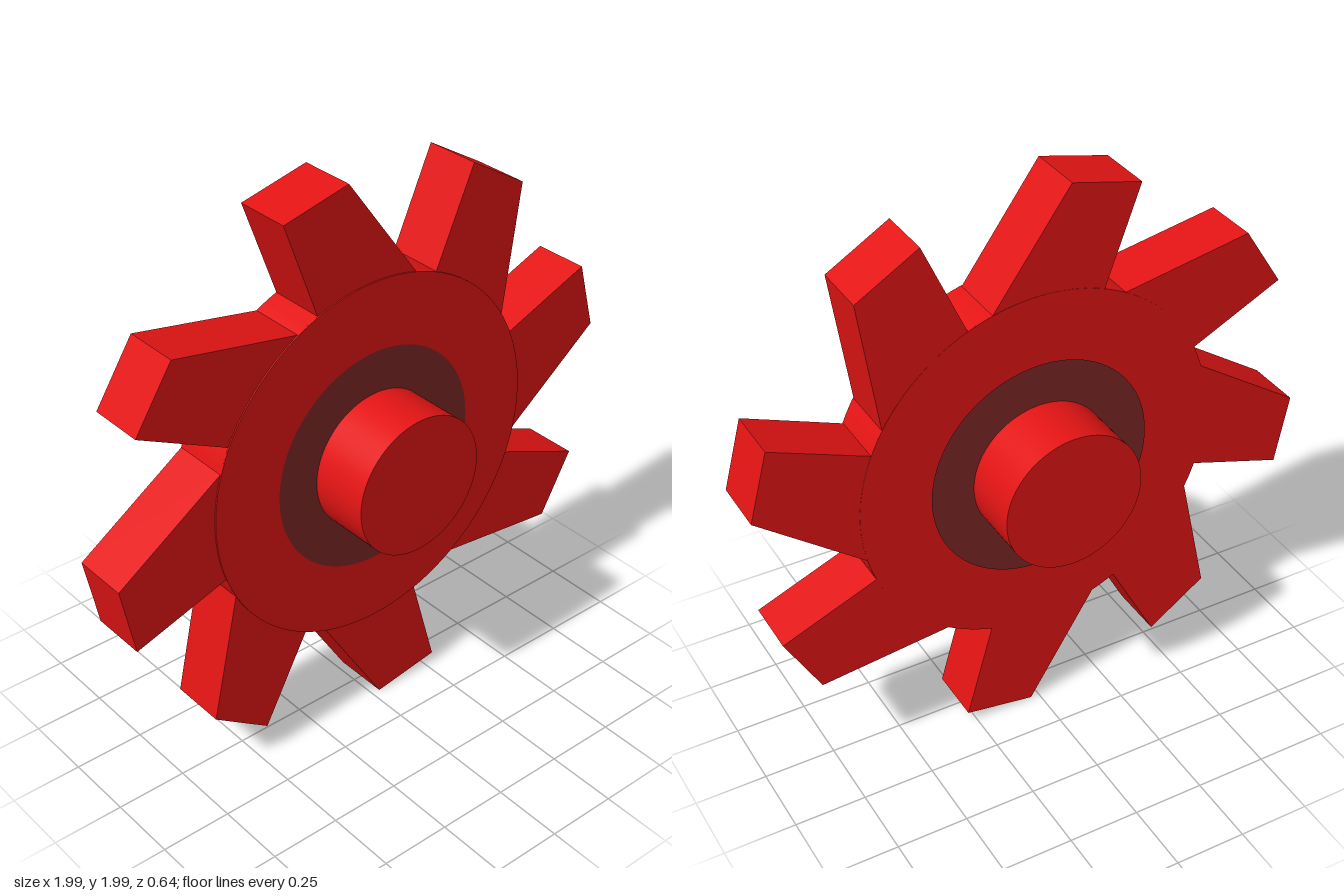
import * as THREE from 'three';

const CENTER_Y = 1.005;
const RIM = 1.0, ROOT = 0.64, HALF = 0.1;

export function createModel() {
  const model = new THREE.Group();
  const red = new THREE.MeshStandardMaterial({ color: 0xe31414 });
  const dark = new THREE.MeshStandardMaterial({ color: 0x7d2727 });

  const wheel = new THREE.Group();
  wheel.name = 'gearWheel';
  wheel.position.y = CENTER_Y;
  model.add(wheel);

  const add = (name, geometry, material) => {
    const mesh = new THREE.Mesh(geometry, material);
    mesh.name = name;
    wheel.add(mesh);
    return mesh;
  };
  const polar = (radius, degrees) => {
    const a = THREE.MathUtils.degToRad(degrees);
    return new THREE.Vector2(radius * Math.cos(a), radius * Math.sin(a));
  };
  // Round plate along z, centred on z
  const disc = (name, radius, depth, z, material) => {
    const g = new THREE.CylinderGeometry(radius, radius, depth, 96);
    g.rotateX(Math.PI / 2);
    return add(name, g, material).position.set(0, 0, z);
  };

  // Toothed plate: eight raked teeth 44 degrees apart, one wider gap at lower right
  const outline = [];
  for (let i = 0; i < 8; i++) {
    const a = 110.5 - 44.05 * i - (i > 3 ? 8 : 0);
    const next = a - 44.05 - (i === 3 ? 8 : 0);
    outline.push(polar(ROOT, a + 0.4), polar(RIM, a), polar(RIM, a - 14.5));
    // Root arc up to the next tooth
    const from = a - 35.6, to = next + 0.4;
    for (let k = 0; k < 3; k++) outline.push(polar(ROOT, from + (to - from) * k / 3));
  }
  const teeth = new THREE.ExtrudeGeometry(new THREE.Shape(outline.reverse()), {
    depth: 2 * HALF, bevelEnabled: false,
  });
  teeth.translate(0, 0, -HALF);
  add('toothedPlate', teeth, red);

  // Core disc, slightly proud of the teeth
  disc('coreDisc', ROOT, 2 * HALF + 0.006, 0.002, red);

  // Dark flat rings around the shaft, one on each face
  for (const s of [1, -1]) {
    const ring = new THREE.RingGeometry(0.24, 0.395, 96);
    if (s < 0) ring.rotateY(Math.PI);
    add(s > 0 ? 'frontRing' : 'backRing', ring, dark).position.z = s * (HALF + 0.007);
  }

  // Axle through the middle
  disc('axle', 0.245, 0.645, 0, red);

  return model;
}
